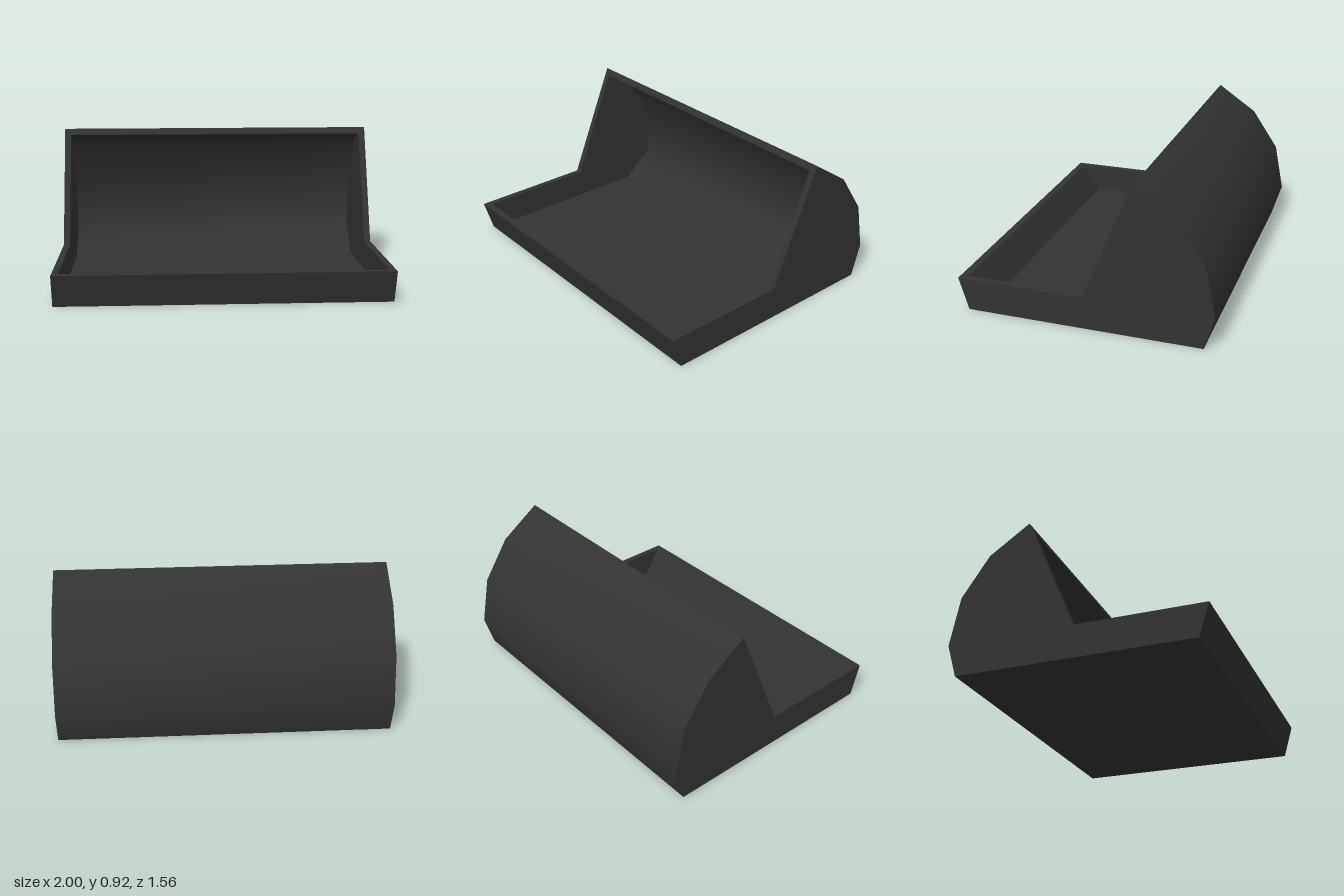
import * as THREE from 'three';

// Side profiles as [z, y], running from the front lip over the top and round
const OUTER = [[0.78, 0.2], [0, 0.2], [-0.3, 0.92], [-0.55, 0.75], [-0.72, 0.5], [-0.78, 0.2], [-0.72, 0], [0.72, 0]];
const INNER = [[0.735, 0.2], [0.62, 0.02], [-0.44, 0.02], [-0.63, 0.19], [-0.635, 0.51], [-0.44, 0.81], [-0.283, 0.88], [0, 0.2]];
const HALF = 1, INSIDE = 0.96;

// Sheet swept along x through the profile points, smooth across its bends
function strip(points, x0, x1) {
  const pos = [], index = [];
  points.forEach(([z, y], i) => {
    pos.push(x0, y, z, x1, y, z);
    if (i) {
      const a = 2 * i - 2;
      index.push(a, a + 1, a + 3, a, a + 3, a + 2);
    }
  });
  const g = new THREE.BufferGeometry();
  g.setAttribute('position', new THREE.Float32BufferAttribute(pos, 3));
  g.setIndex(index);
  g.computeVertexNormals();
  return g;
}

// Flat cheek at x, facing +x or -x
function cheek(points, x, facing) {
  const shape = new THREE.Shape(points.map(([z, y]) => new THREE.Vector2(-facing * z, y)));
  return new THREE.ShapeGeometry(shape).rotateY(facing * Math.PI / 2).translate(x, 0, 0);
}

export function createModel() {
  const model = new THREE.Group();
  model.name = 'scoopTray';
  const charcoal = new THREE.MeshStandardMaterial({ color: 0x333333, side: THREE.DoubleSide });
  charcoal.name = 'charcoal';
  const add = (name, geometry) => {
    const mesh = new THREE.Mesh(geometry, charcoal);
    mesh.name = name;
    model.add(mesh);
  };

  // Outer shell
  add('curvedBack', strip(OUTER.slice(2, 7), -HALF, HALF));
  add('base', strip(OUTER.slice(6, 8), -HALF, HALF));
  add('frontWall', strip([OUTER[7], OUTER[0]], -HALF, HALF));

  // Hollow
  add('innerFrontSlope', strip(INNER.slice(0, 2), -INSIDE, INSIDE));
  add('floor', strip(INNER.slice(1, 3), -INSIDE, INSIDE));
  add('innerBack', strip(INNER.slice(2, 6), -INSIDE, INSIDE));
  add('innerTop', strip(INNER.slice(5, 7), -INSIDE, INSIDE));

  // Rim across the front and the top
  add('frontRim', strip([OUTER[0], INNER[0]], -INSIDE, INSIDE));
  add('topRim', strip([INNER[6], OUTER[2]], -INSIDE, INSIDE));

  // Side walls and their rims
  for (const s of [-1, 1]) {
    const side = s > 0 ? 'left' : 'right';
    add(side + 'OuterWall', cheek(OUTER, s * HALF, s));
    add(side + 'InnerWall', cheek(INNER, s * INSIDE, -s));
    const x0 = s > 0 ? INSIDE : -HALF, x1 = s > 0 ? HALF : -INSIDE;
    add(side + 'LowRim', strip(OUTER.slice(0, 2), x0, x1));
    add(side + 'SlopedRim', strip(OUTER.slice(1, 3), x0, x1));
  }
  return model;
}
